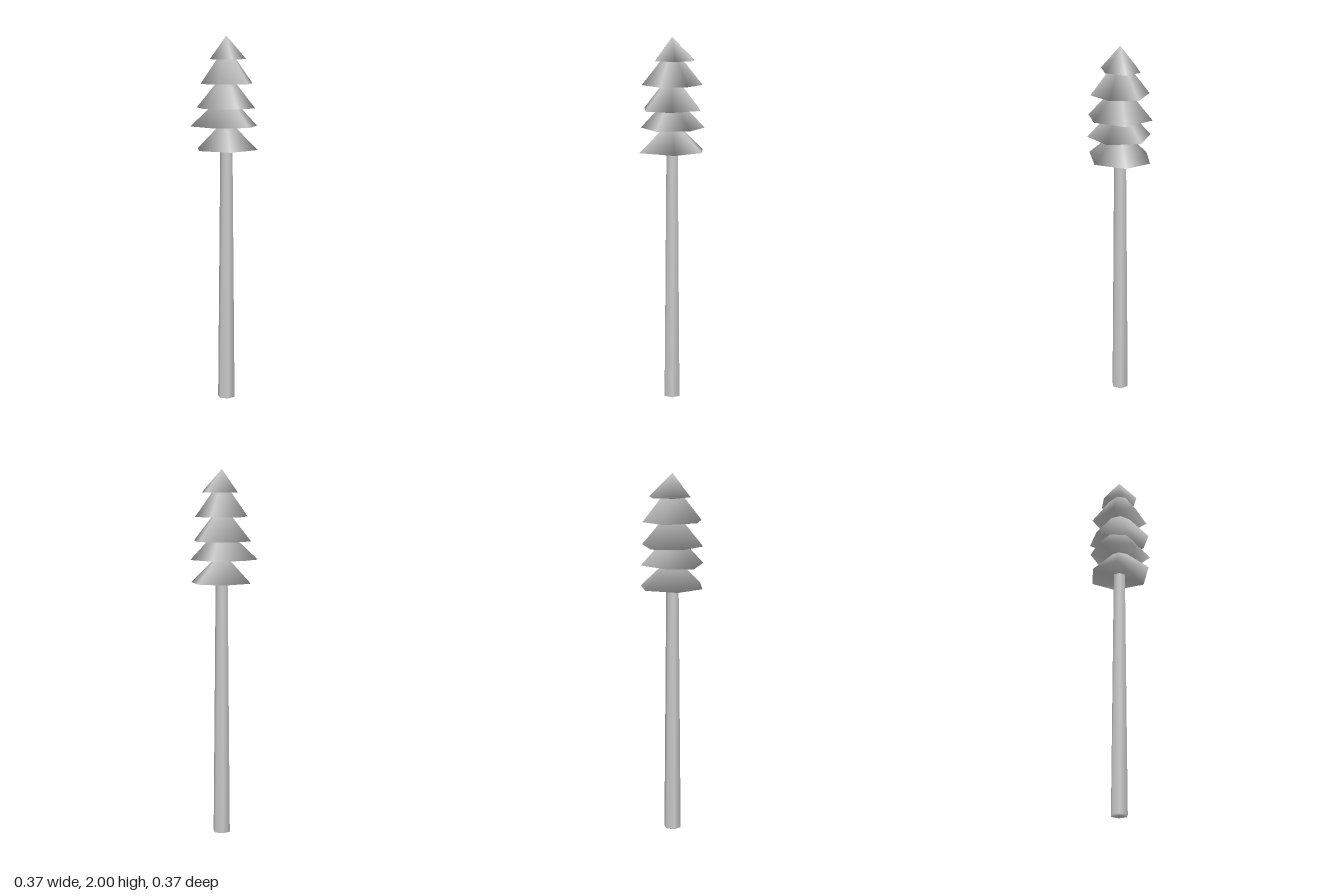
import * as THREE from 'three';
import { mergeVertices } from 'three/addons/utils/BufferGeometryUtils.js';

const material = new THREE.MeshStandardMaterial({ color: 0xcccccc });

// Canopy tiers: base height, apex height, six rim corners [x, z], counterclockwise from above
const tiers = [
  { base: 1.39, tip: 1.56, rim: [[0.163, 0.075], [0.155, -0.1], [0.03, -0.185], [-0.13, -0.1], [-0.155, 0.06], [-0.015, 0.187]] },
  { base: 1.515, tip: 1.7, rim: [[0.18, -0.005], [0.09, -0.16], [-0.08, -0.142], [-0.185, -0.035], [-0.09, 0.133], [0.095, 0.147]] },
  { base: 1.615, tip: 1.815, rim: [[0.145, 0.085], [0.148, -0.095], [-0.012, -0.181], [-0.14, -0.075], [-0.135, 0.085], [0.028, 0.17]] },
  { base: 1.745, tip: 1.95, rim: [[0.154, -0.01], [0.09, -0.145], [-0.065, -0.14], [-0.142, 0.03], [-0.07, 0.138], [0.1, 0.125]] },
  { base: 1.875, tip: 2.0, rim: [[0.108, 0.036], [0.108, -0.08], [0.03, -0.128], [-0.068, -0.066], [-0.08, 0.044], [0.012, 0.103]] },
];

// Closed six-sided cone with smooth normals shared across the rim
function tierGeometry({ base, tip, rim }) {
  const points = [0.007, tip, -0.004];
  const faces = [];
  const n = rim.length;
  rim.forEach(([x, z], i) => {
    points.push(x, base, z);
    faces.push(0, i + 1, ((i + 1) % n) + 1);
    if (i > 0 && i < n - 1) faces.push(1, i + 2, i + 1);
  });
  const geometry = new THREE.BufferGeometry();
  geometry.setAttribute('position', new THREE.Float32BufferAttribute(points, 3));
  geometry.setIndex(faces);
  geometry.computeVertexNormals();
  return geometry;
}

// Tapered six-sided trunk, smooth over its ends
function trunkGeometry() {
  const height = 1.9;
  let geometry = new THREE.CylinderGeometry(0.03, 0.048, height, 6);
  geometry.deleteAttribute('normal');
  geometry.deleteAttribute('uv');
  geometry = mergeVertices(geometry);
  geometry.translate(0.008, height / 2, -0.004);
  geometry.computeVertexNormals();
  return geometry;
}

export function createModel() {
  const tree = new THREE.Group();
  tree.name = 'pineTree';

  const trunk = new THREE.Mesh(trunkGeometry(), material);
  trunk.name = 'trunk';
  tree.add(trunk);

  const canopy = new THREE.Group();
  canopy.name = 'canopy';
  tiers.forEach((tier, i) => {
    const mesh = new THREE.Mesh(tierGeometry(tier), material);
    mesh.name = `canopyTier${i + 1}`;
    canopy.add(mesh);
  });
  tree.add(canopy);

  return tree;
}
